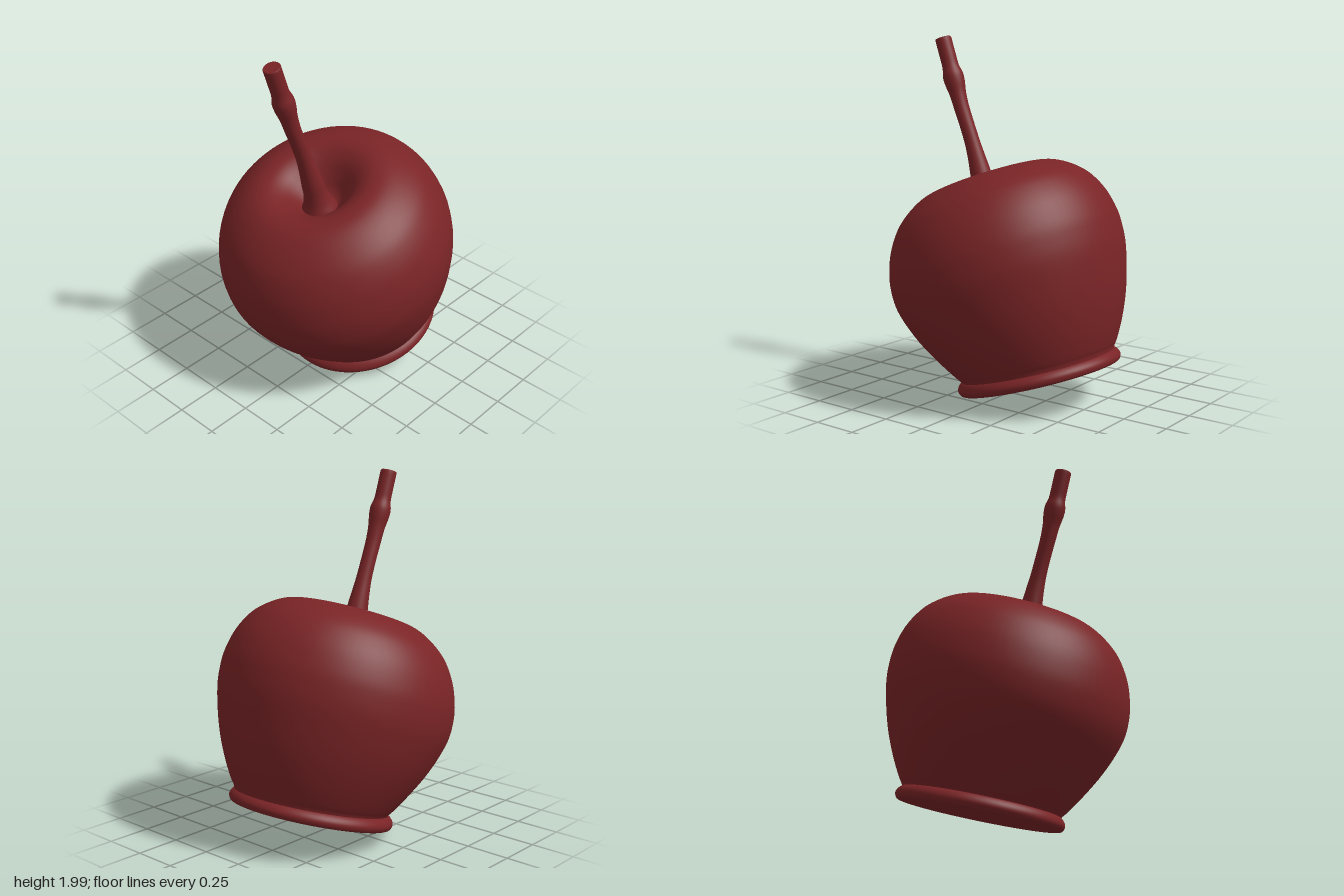
import * as THREE from 'three';
import { mergeVertices } from 'three/addons/utils/BufferGeometryUtils.js';

const vec = ([r, y]) => new THREE.Vector2(r, y);

// Seamless smooth lathe; an optional rule moves its vertices
function smoothLathe(points, segments, rule) {
  let geo = new THREE.LatheGeometry(points, segments);
  geo.deleteAttribute('uv');
  geo.deleteAttribute('normal');
  geo = mergeVertices(geo, 1e-5);
  if (rule) {
    const pos = geo.attributes.position;
    const p = new THREE.Vector3();
    for (let i = 0; i < pos.count; i++) {
      rule(p.fromBufferAttribute(pos, i));
      pos.setXYZ(i, p.x, p.y, p.z);
    }
  }
  geo.computeVertexNormals();
  return geo;
}

export function createModel() {
  const group = new THREE.Group();
  const coating = new THREE.MeshStandardMaterial({ color: 0x7a2426 });
  coating.name = 'dark red candy coating';

  const add = (name, geo, tilt, x, y, z) => {
    const mesh = new THREE.Mesh(geo, coating);
    mesh.name = name;
    mesh.rotation.x = tilt;
    mesh.position.set(x, y, z);
    group.add(mesh);
  };

  const tilt = THREE.MathUtils.degToRad(17);

  // Pooled coating: flat disc with a rounded lip
  const lip = new THREE.SplineCurve([
    [0.425, 0], [0.448, 0.006], [0.46, 0.03], [0.452, 0.055], [0.43, 0.075], [0.4, 0.08],
  ].map(vec)).getPoints(20);
  const base = [[0, 0], [0.25, 0], [0.41, 0]].map(vec).concat(lip);
  add('candyBase', smoothLathe(base, 64), tilt, -0.005, 0.13, -0.21);

  // Apple: round body with a dimpled crown, leaning forward a little towards the top
  const profile = new THREE.SplineCurve([
    [0.42, 0.04], [0.435, 0.085], [0.46, 0.12], [0.52, 0.22], [0.58, 0.34], [0.625, 0.46],
    [0.657, 0.58], [0.664, 0.68], [0.656, 0.77], [0.625, 0.88], [0.575, 0.975], [0.52, 1.04],
    [0.44, 1.1], [0.36, 1.135], [0.28, 1.138], [0.21, 1.105], [0.15, 1.045], [0.1, 0.99],
    [0.05, 0.972], [0, 0.97],
  ].map(vec)).getPoints(76);
  profile[profile.length - 1].x = 0;
  const lean = (p) => {
    const t = THREE.MathUtils.smoothstep(p.y, 0, 0.7);
    p.y -= 0.08 * p.z * t;
    p.z += 0.04 * t;
  };
  add('apple', smoothLathe(profile, 72, lean), tilt, 0, 0.13, -0.22);

  // Stick: flared foot, slim shaft, swollen collar and a narrower flat-cut tip
  const shaft = new THREE.SplineCurve([
    [0.12, -0.05], [0.1, 0.02], [0.075, 0.08], [0.063, 0.14], [0.06, 0.2], [0.05, 0.3],
    [0.043, 0.4], [0.042, 0.55], [0.046, 0.67], [0.056, 0.74], [0.058, 0.79], [0.047, 0.84],
    [0.046, 0.9], [0.046, 1.0],
  ].map(vec)).getPoints(52);
  const stick = shaft.concat([[0.044, 1.006], [0.042, 1.006], [0, 1.006]].map(vec));
  // Slight backward bow in the lower shaft
  const bow = (p) => { p.z -= 0.012 * Math.sin(Math.PI * THREE.MathUtils.clamp(p.y / 0.6, 0, 1)); };
  add('stick', smoothLathe(stick, 28, bow), THREE.MathUtils.degToRad(18.8), 0.004, 1.03, 0.14);

  return group;
}
